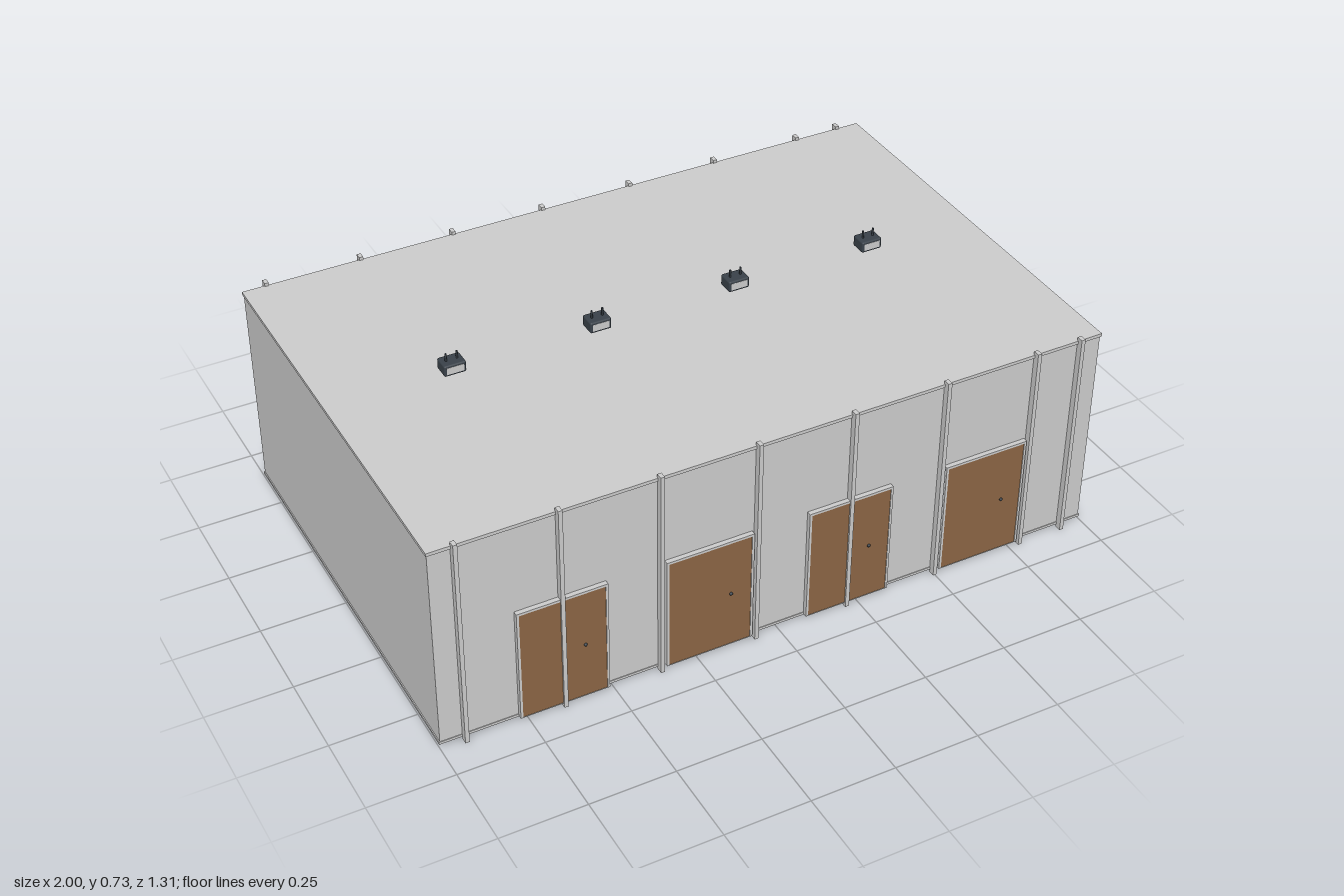
import * as THREE from 'three';
import { RoundedBoxGeometry } from 'three/addons/geometries/RoundedBoxGeometry.js';

const grey = new THREE.MeshStandardMaterial({ color: 0xcccccc });
const brown = new THREE.MeshStandardMaterial({ color: 0x8b6544 });
const dark = new THREE.MeshStandardMaterial({ color: 0x394149 });

function add(parent, name, geometry, material, x, y, z) {
  const mesh = new THREE.Mesh(geometry, material);
  mesh.name = name;
  mesh.position.set(x, y, z);
  parent.add(mesh);
  return mesh;
}

const box = (w, h, d) => new THREE.BoxGeometry(w, h, d);

// Door with a slim frame, a panel and a round knob
function createDoor() {
  const door = new THREE.Group();
  door.name = 'door';
  const w = 0.26, h = 0.357, t = 0.007;
  const outline = new THREE.Shape();
  outline.moveTo(-w / 2, 0).lineTo(w / 2, 0).lineTo(w / 2, h).lineTo(-w / 2, h).closePath();
  const opening = new THREE.Path();
  opening.moveTo(-w / 2 + t, 0.001).lineTo(-w / 2 + t, h - t);
  opening.lineTo(w / 2 - t, h - t).lineTo(w / 2 - t, 0.001).closePath();
  outline.holes.push(opening);
  const frame = new THREE.ExtrudeGeometry(outline, { depth: 0.014, bevelEnabled: false });
  add(door, 'doorFrame', frame, grey, 0, 0, 0);
  add(door, 'doorPanel', box(w - 2 * t, h - t, 0.012), brown, 0, (h - t) / 2, 0.006);
  const knob = add(door, 'doorKnob', new THREE.SphereGeometry(0.005, 16, 10), dark, 0.062, 0.177, 0.0135);
  knob.scale.z = 0.8;
  return door;
}

// Rooftop floodlight: rounded housing, pale front plate and two prongs
function createLight() {
  const light = new THREE.Group();
  light.name = 'roofLight';
  add(light, 'lightHousing', new RoundedBoxGeometry(0.064, 0.034, 0.05, 3, 0.005), dark, 0, 0.017, 0);
  add(light, 'lightPlate', box(0.05, 0.021, 0.002), grey, 0, 0.017, 0.0246);
  for (const side of [-1, 1]) {
    add(light, 'lightProng', new THREE.CylinderGeometry(0.003, 0.003, 0.03, 10), dark, side * 0.016, 0.042, 0);
  }
  return light;
}

export function createModel() {
  const model = new THREE.Group();
  model.name = 'warehouse';

  // Main hall with floor and roof slabs
  add(model, 'hall', box(1.994, 0.622, 1.276), grey, 0, 0.329, 0);
  add(model, 'floor', box(2, 0.008, 1.28), grey, 0, 0.014, 0);
  add(model, 'roof', box(2, 0.01, 1.284), grey, 0, 0.645, 0);

  // Upright posts along the front and back walls
  const postX = [-0.928, -0.644, -0.358, -0.072, 0.214, 0.5, 0.786, 0.928];
  for (const x of postX) {
    for (const side of [-1, 1]) {
      add(model, 'wallPost', box(0.012, 0.66, 0.02), grey, x, 0.33, side * 0.647);
    }
  }

  // Four bays, each with a front door and a light above the roof
  for (const x of [-0.644, -0.214, 0.214, 0.644]) {
    const door = createDoor();
    door.position.set(x, 0.013, 0.6395);
    model.add(door);
    const light = createLight();
    light.position.set(x, 0.672, 0);
    model.add(light);
  }
  return model;
}
